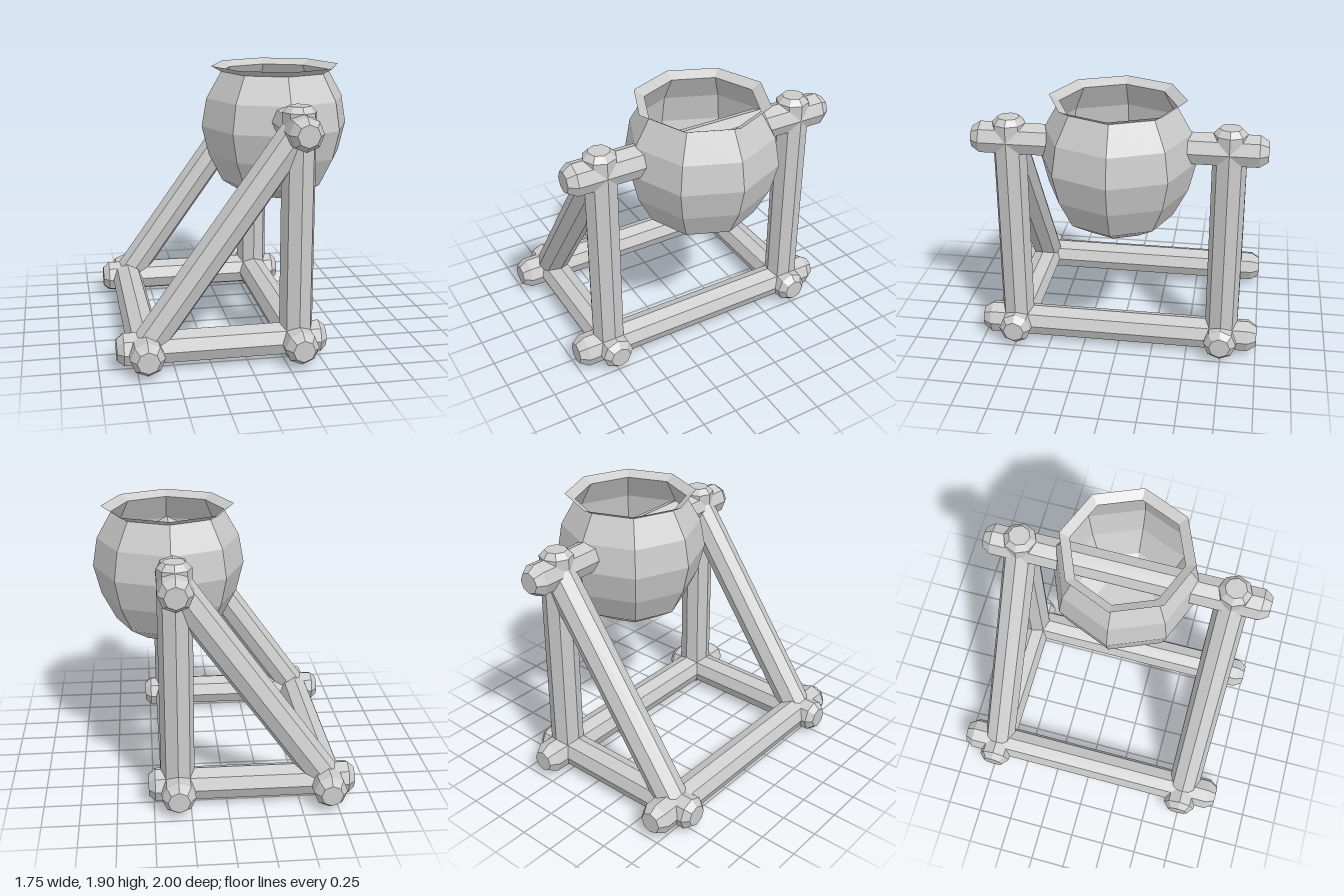
import * as THREE from 'three';

const SIDES = 8;
const R = 0.115;      // beam radius
const CAP_R = 0.075;  // radius of the chamfered beam tips
const Z = 0.745;      // side frame offset
const BACK = -0.69, POST = 0.335; // joint columns in x
const LOW = 0.14, HIGH = 1.575;   // joint heights

const material = new THREE.MeshStandardMaterial({ color: 0xcccccc, flatShading: true });
const shellMaterial = new THREE.MeshStandardMaterial({
  color: 0xcccccc, flatShading: true, side: THREE.DoubleSide,
});

function lathe(profile) {
  return new THREE.LatheGeometry(profile.map(([r, y]) => new THREE.Vector2(r, y)), SIDES);
}

// Octagonal beam with chamfered tips, running from point a to point b
function beam(name, a, b, chamfer = 0.06) {
  const start = new THREE.Vector3(...a);
  const dir = new THREE.Vector3(...b).sub(start);
  const length = dir.length();
  const mesh = new THREE.Mesh(lathe([
    [0, 0], [CAP_R, 0], [R, chamfer], [R, length - chamfer], [CAP_R, length], [0, length],
  ]), material);
  mesh.name = name;
  mesh.position.copy(start);
  mesh.quaternion.setFromUnitVectors(new THREE.Vector3(0, 1, 0), dir.normalize());
  return mesh;
}

export function createModel() {
  const model = new THREE.Group();
  model.name = 'potOnFrame';

  // Two triangular side frames
  for (const side of [1, -1]) {
    const z = Z * side;
    const frame = new THREE.Group();
    frame.name = side > 0 ? 'frontSideFrame' : 'backSideFrame';
    frame.add(beam('baseBeam', [-0.88, LOW, z], [0.535, LOW, z], 0.045));
    frame.add(beam('post', [POST, 0.02, z], [POST, 1.73, z], 0.04));
    const d = new THREE.Vector2(POST - BACK, HIGH - LOW).normalize();
    frame.add(beam('diagonalBrace',
      [BACK - d.x * 0.115, LOW - d.y * 0.115, z],
      [POST + d.x * 0.08, HIGH + d.y * 0.08, z]));
    model.add(frame);
  }

  // Cross beams joining the frames; the upper one passes through the pot
  model.add(beam('backCrossBeam', [BACK, LOW, -1], [BACK, LOW, 1]));
  model.add(beam('lowerCrossBeam', [POST, LOW, -1], [POST, LOW, 1]));
  model.add(beam('axleBeam', [POST, HIGH, -1], [POST, HIGH, 1]));

  // Open faceted pot with a flared rim
  const pot = new THREE.Mesh(lathe([
    [0, 0.985], [0.23, 0.985], [0.38, 1.08], [0.48, 1.275], [0.53, 1.48],
    [0.495, 1.68], [0.39, 1.865], [0.46, 1.905],
  ]), shellMaterial);
  pot.name = 'pot';
  pot.position.x = 0.345;
  model.add(pot);

  return model;
}
